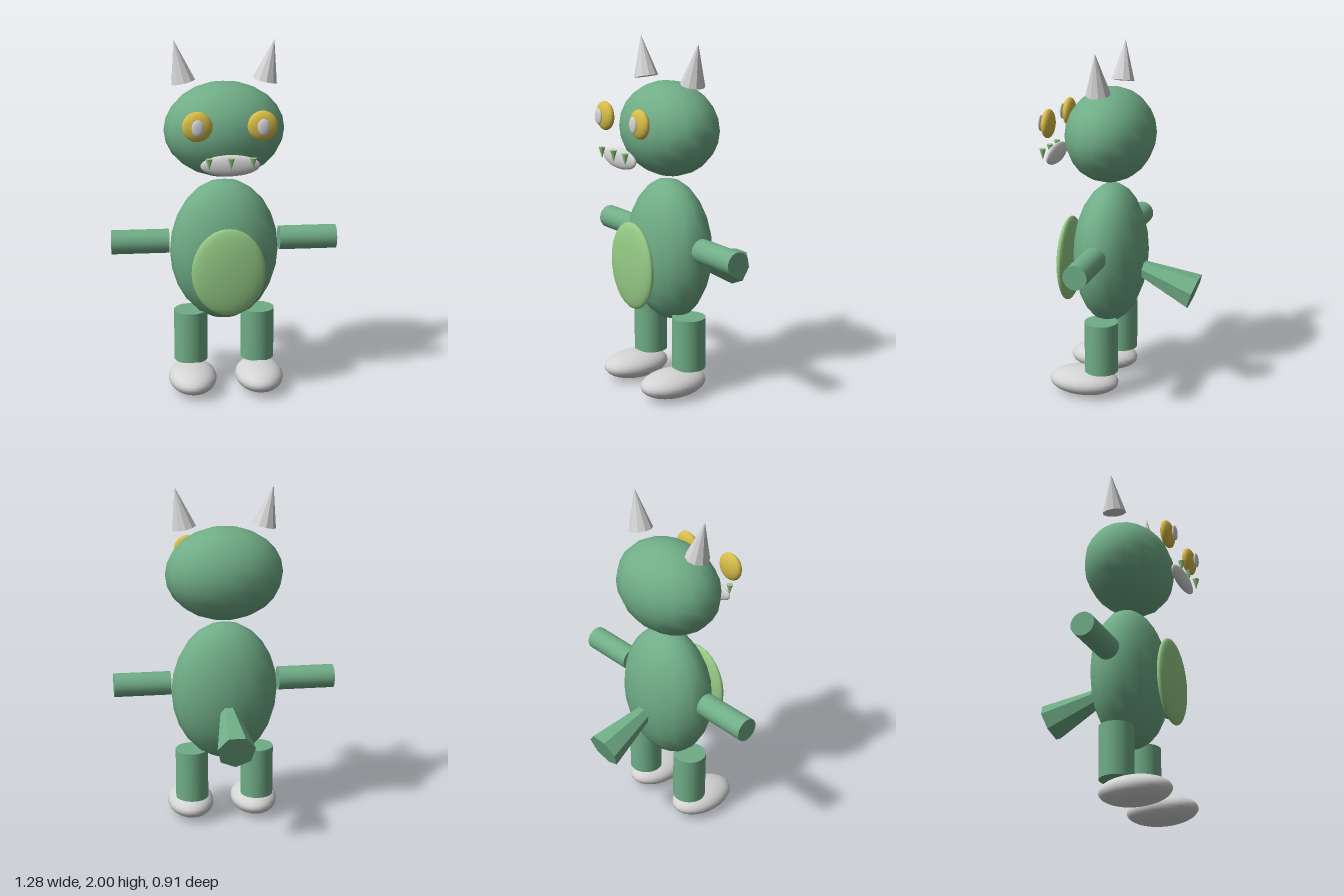
import * as THREE from 'three';

export function createModel() {
  const model = new THREE.Group();
  model.name = 'hornedCreature';

  const paint = (name, color, flatShading = false) => {
    const m = new THREE.MeshStandardMaterial({ color, flatShading });
    m.name = name;
    return m;
  };
  const green = paint('skinGreen', 0x70ad87);
  const greenFlat = paint('skinGreenFaceted', 0x70ad87, true);
  const lime = paint('lightGreen', 0x96cb86);
  const gold = paint('eyeYellow', 0xd9bd48);
  const grey = paint('paleGrey', 0xd4d4d4);
  const greyFlat = paint('paleGreyFaceted', 0xd4d4d4, true);

  const add = (name, geometry, material, x, y, z) => {
    const mesh = new THREE.Mesh(geometry, material);
    mesh.name = name;
    mesh.position.set(x, y, z);
    model.add(mesh);
    return mesh;
  };
  // Ellipsoid with the given radii baked into the geometry
  const ellipsoid = (name, material, pos, [rx, ry, rz], w = 24, h = 16) =>
    add(name, new THREE.SphereGeometry(1, w, h).scale(rx, ry, rz), material, ...pos);

  const midZ = 0.073;

  // Head, body and belly patch
  ellipsoid('head', green, [0, 1.505, midZ], [0.336, 0.266, 0.25], 16, 12);
  ellipsoid('body', green, [0, 0.81, midZ], [0.308, 0.41, 0.207], 16, 12);
  ellipsoid('belly', lime, [0, 0.75, 0.325], [0.205, 0.25, 0.042]);

  // Mouth and three small fangs pointing down
  ellipsoid('mouth', grey, [0, 1.373, 0.399], [0.16, 0.058, 0.026]);
  for (const x of [-0.117, 0, 0.117]) {
    const fang = add('fang', new THREE.ConeGeometry(0.019, 0.064, 10), lime, x, 1.389, 0.439);
    fang.rotation.x = Math.PI;
  }

  // Mirrored parts: +x is the model's left
  for (const s of [1, -1]) {
    const side = s > 0 ? 'left' : 'right';
    ellipsoid(side + 'Eye', gold, [s * 0.174, 1.582, 0.381], [0.081, 0.081, 0.033]);
    ellipsoid(side + 'Pupil', grey, [s * 0.174, 1.582, 0.425], [0.033, 0.045, 0.011]);

    const horn = add(side + 'Horn', new THREE.ConeGeometry(0.069, 0.234, 10), greyFlat,
      s * 0.25, 1.885, midZ);
    horn.rotation.z = -s * 0.22;

    const arm = add(side + 'Arm', new THREE.CylinderGeometry(0.068, 0.068, 0.326, 24), green,
      s * 0.476, 0.867, midZ);
    arm.rotation.z = Math.PI / 2;

    add(side + 'Leg', new THREE.CylinderGeometry(0.096, 0.096, 0.3, 24), green,
      s * 0.193, 0.303, midZ);
    ellipsoid(side + 'Foot', grey, [s * 0.192, 0.08, 0.179], [0.137, 0.078, 0.205]);
  }

  // Tail: faceted cone, its tip inside the body and its wide end trailing behind
  const tail = add('tail', new THREE.ConeGeometry(0.109, 0.6, 7), greenFlat, 0, 0.72, -0.139);
  tail.rotation.x = 1.222;

  return model;
}
